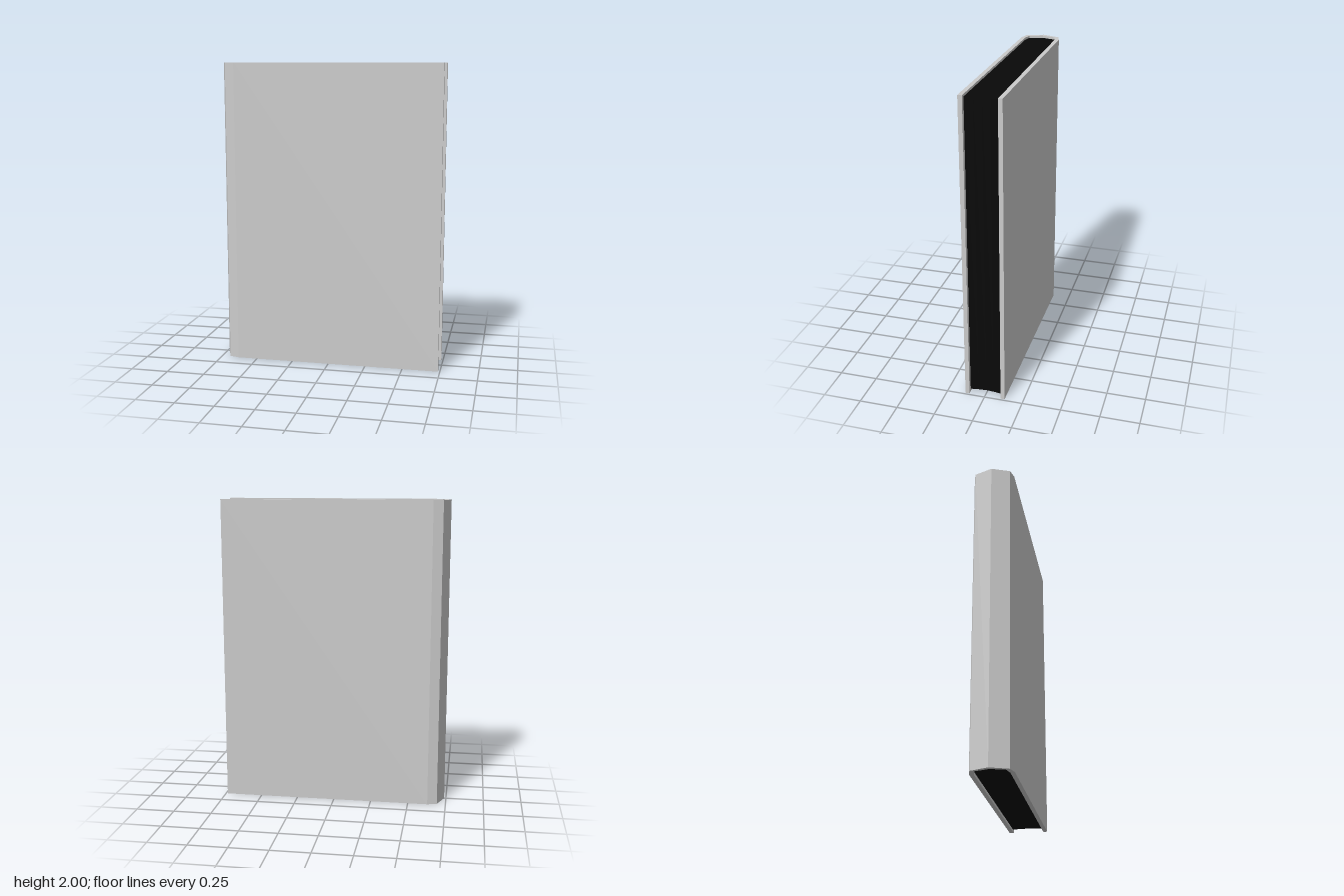
import * as THREE from 'three';

// Stands a plan outline (x, z) upright between two heights
function upright(name, points, bottom, top, color) {
  const shape = new THREE.Shape(points.map(([x, z]) => new THREE.Vector2(x, -z)));
  const geometry = new THREE.ExtrudeGeometry(shape, { depth: top - bottom, bevelEnabled: false });
  geometry.rotateX(-Math.PI / 2).translate(0, bottom, 0);
  const mesh = new THREE.Mesh(geometry, new THREE.MeshStandardMaterial({ color, flatShading: true }));
  mesh.name = name;
  return mesh;
}

// Completes a front half (z > 0, ending at the spine ridge) with its mirrored back half
const mirrored = (half, ridge) => [
  ...half, ridge, ...half.map(([x, z]) => [x, -z]).reverse(),
];

export function createModel() {
  const book = new THREE.Group();
  book.name = 'book';

  // Hard cover: two boards joined by a faceted spine
  const outer = mirrored([[0.738, 0.131], [-0.63, 0.131], [-0.693, 0.114]], [-0.738, 0]);
  const inner = mirrored([[0.738, 0.104], [-0.62, 0.104], [-0.68, 0.09]], [-0.708, 0]);
  book.add(upright('cover', [...outer, ...inner.reverse()], 0, 2, 0xcccccc));

  // Page block: slightly recessed, with a hollowed fore edge
  const pages = mirrored([[0.7, 0], [0.703, 0.05], [0.711, 0.104], [-0.62, 0.104], [-0.68, 0.09]], [-0.708, 0]);
  pages.pop(); // the fore-edge centre is shared by both halves
  book.add(upright('pages', pages, 0.018, 1.985, 0x080808));

  return book;
}
